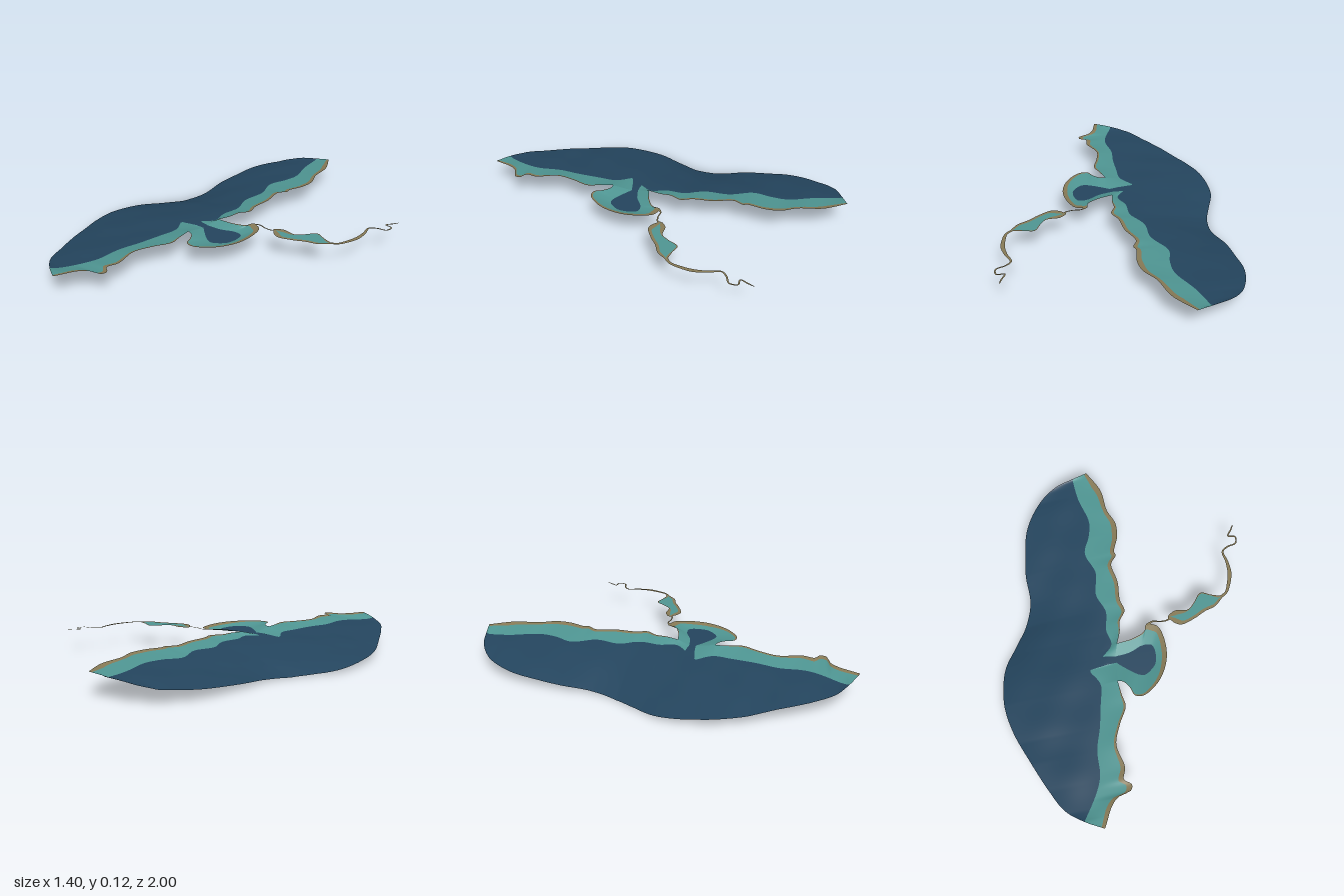
import * as THREE from 'three';

const material = (name, color) =>
  Object.assign(new THREE.MeshStandardMaterial({ color, side: THREE.DoubleSide }), { name });

const SHORE_Y = 0.125, SHELF_Y = 0.107;
const lerp = THREE.MathUtils.lerp;

// Smooth curve through [x, z] points, sampled evenly between the points
function smooth(points, steps = 10) {
  const curve = new THREE.CatmullRomCurve3(points.map(([x, z]) => new THREE.Vector3(x, 0, z)));
  return curve.getPoints((points.length - 1) * steps);
}

// Value along a list of [value, z] pairs
function along(samples, z) {
  let i = 1;
  while (i < samples.length - 1 && samples[i].z < z) i++;
  const a = samples[i - 1], b = samples[i];
  const t = THREE.MathUtils.clamp((z - a.z) / Math.max(b.z - a.z, 1e-6), 0, 1);
  return lerp(a.x, b.x, t);
}
const table = (points) => points.map(([x, z]) => ({ x, z }));

// Sheet through rows of points that all have the same length
function sheet(name, mat, rows) {
  const n = rows[0].length, index = [];
  for (let r = 0; r < rows.length - 1; r++) {
    for (let c = 0; c < n - 1; c++) {
      const a = r * n + c, b = a + n;
      index.push(a, b, a + 1, b, b + 1, a + 1);
    }
  }
  const geometry = new THREE.BufferGeometry().setFromPoints(rows.flat());
  geometry.setIndex(index);
  geometry.computeVertexNormals();
  const mesh = new THREE.Mesh(geometry, mat);
  mesh.name = name;
  return mesh;
}

// Sheet between two matched curves
function between(name, mat, a, b, columns = 4) {
  return sheet(name, mat, a.map((p, i) =>
    Array.from({ length: columns + 1 }, (_, c) => p.clone().lerp(b[i], c / columns))));
}

// Flat ribbon along [x, z, width] points
function stream(name, mat, points) {
  const steps = 8, path = smooth(points, steps);
  return sheet(name, mat, path.map((p, i) => {
    const k = Math.min(Math.floor(i / steps), points.length - 2);
    const w = lerp(points[k][2], points[k + 1][2], i / steps - k) / 2;
    const d = path[Math.min(i + 1, path.length - 1)].clone().sub(path[Math.max(i - 1, 0)]).normalize();
    const side = new THREE.Vector3(-d.z * w, 0, d.x * w);
    return [p.clone().add(side).setY(SHORE_Y), p.clone().sub(side).setY(SHORE_Y)];
  }));
}

// Sea floor outlines as [x, z], from back to front
const outerEdge = smooth([[-0.07, -1], [-0.155, -0.98], [-0.26, -0.95], [-0.35, -0.89], [-0.42, -0.8],
  [-0.465, -0.7], [-0.485, -0.58], [-0.5, -0.45], [-0.495, -0.29], [-0.535, -0.16], [-0.6, -0.05],
  [-0.675, 0.08], [-0.7, 0.27], [-0.67, 0.43], [-0.6, 0.6], [-0.52, 0.77], [-0.455, 0.88],
  [-0.365, 0.95], [-0.27, 1]]);
const northShore = smooth([[-0.07, -1], [-0.005, -0.87], [0.01, -0.74], [0.045, -0.65], [0.042, -0.565],
  [0.01, -0.475], [0.015, -0.45], [-0.018, -0.4], [0, -0.29], [-0.005, -0.18], [0.01, -0.115],
  [-0.025, -0.06], [-0.035, 0], [-0.06, 0.065]]);
const southShore = smooth([[-0.09, 0.27], [-0.08, 0.35], [-0.07, 0.41], [-0.115, 0.5], [-0.15, 0.6],
  [-0.125, 0.72], [-0.14, 0.78], [-0.105, 0.81], [-0.115, 0.84], [-0.18, 0.86], [-0.22, 0.9],
  [-0.255, 0.97], [-0.27, 1]]);
const shore = [...northShore, ...table([[-0.08, 0.13], [-0.08, 0.165]]), ...southShore];
const deepEdge = [
  ...smooth([[-0.155, -0.98], [-0.14, -0.845], [-0.1, -0.69], [-0.115, -0.6], [-0.152, -0.5], [-0.11, -0.37],
    [-0.128, -0.24], [-0.09, -0.13], [-0.105, -0.025], [-0.09, 0.06], [-0.145, 0.12]]),
  ...table([[-0.08, 0.13], [-0.08, 0.165], [-0.13, 0.168], [-0.22, 0.18]]),
  ...smooth([[-0.225, 0.19], [-0.18, 0.27], [-0.195, 0.37], [-0.22, 0.5], [-0.25, 0.61], [-0.255, 0.74],
    [-0.285, 0.82], [-0.365, 0.95]])];
// Height of the outer edge, end of the slope, sand width and shore height along z
const outerY = table([[0.125, -1], [0.09, -0.93], [0.07, -0.87], [0.043, -0.6], [0.03, -0.45], [0.01, -0.28],
  [0, -0.15], [0.008, 0], [0.02, 0.12], [0.037, 0.28], [0.048, 0.5], [0.065, 0.62], [0.077, 0.77],
  [0.095, 0.9], [0.125, 1]]);
const shelfX = table([[-0.13, -1], [-0.1, 0], [-0.14, 0.2], [-0.2, 0.45], [-0.25, 0.7], [-0.3, 1]]);
const sandWidth = table([[0.015, -1], [0.035, -0.9], [0.02, -0.75], [0.03, -0.6], [0.02, -0.4], [0.02, -0.15],
  [0.008, -0.03], [0, 0.06], [0, 0.28], [0.012, 0.4], [0.012, 0.6], [0.03, 0.8], [0.025, 0.92], [0.02, 1]]);
const shoreY = table([[SHORE_Y, 0.065], [SHELF_Y, 0.13], [SHELF_Y, 0.165], [SHORE_Y, 0.27]]);

function floorY(x, z, left) {
  const t = THREE.MathUtils.clamp((x - left) / Math.max(along(shelfX, z) - left, 0.02), 0, 1);
  const ripple = 0.012 * t * (1 - t) * Math.sin(z * 19 + x * 7) * Math.sin(x * 11 - z * 5);
  return lerp(along(outerY, z), SHELF_Y, t * (1.35 - 0.35 * t)) + ripple;
}

export function createModel() {
  const model = new THREE.Group();
  model.name = 'coastalSeaFloor';
  const deep = material('deepWater', 0x24455e);
  const shallow = material('shallowWater', 0x4f9693);
  const sand = material('sand', 0x877a56);

  // Main sea floor: rows across z, each cut into deep, shallow and sand
  const deepRows = [], shallowRows = [], sandRows = [];
  const zs = Array.from({ length: 241 }, (_, i) => -1 + i / 120);
  zs.push(0.065, 0.12, 0.13, 0.165, 0.168, 0.18, 0.27);
  zs.sort((a, b) => a - b);
  for (const z of zs) {
    const left = along(outerEdge, z), right = Math.max(left, along(shore, z));
    const beach = Math.max(left, right - along(sandWidth, z));
    const drop = Math.min(Math.max(along(deepEdge, z), left), beach);
    const endY = along(shoreY, z), beachY = endY - 0.2 * (right - beach), dropY = floorY(drop, z, left);
    deepRows.push(Array.from({ length: 25 }, (_, i) => {
      const x = lerp(left, drop, i / 24);
      return new THREE.Vector3(x, floorY(x, z, left), z);
    }));
    shallowRows.push(Array.from({ length: 6 }, (_, i) =>
      new THREE.Vector3(lerp(drop, beach, i / 5), lerp(dropY, beachY, i / 5), z)));
    sandRows.push([new THREE.Vector3(beach, beachY, z), new THREE.Vector3(right, endY, z)]);
  }
  model.add(sheet('deepSeaFloor', deep, deepRows), sheet('shallowShelf', shallow, shallowRows),
    sheet('sandyShore', sand, sandRows));

  // Bay: matched shore and deep outlines, from the north side of the mouth to the south side
  const steps = 8;
  const bayShore = smooth([[-0.06, 0.065], [0.03, 0.05], [0.095, 0.02], [0.11, -0.015], [0.145, -0.012],
    [0.175, 0.01], [0.195, 0.11], [0.18, 0.21], [0.12, 0.31], [0.03, 0.37], [-0.015, 0.36], [-0.03, 0.32],
    [-0.06, 0.28], [-0.09, 0.27]], steps).map((p) => p.setY(SHORE_Y));
  const bayDeep = smooth([[-0.08, 0.13], [0, 0.12], [0.06, 0.095], [0.09, 0.09], [0.11, 0.092], [0.125, 0.1],
    [0.135, 0.14], [0.125, 0.2], [0.1, 0.23], [0.06, 0.255], [0.03, 0.25], [0.005, 0.235], [-0.04, 0.2],
    [-0.08, 0.165]], steps).map((p) => p.setY(SHELF_Y));
  const inset = [0, 0.08, 0.12, 0.25, 0.32, 0.32, 0.45, 0.45, 0.25, 0.1, 0.06, 0.05, 0.03, 0];
  const mix = (a, b, ks) => a.map((p, i) => {
    const k = Math.min(Math.floor(i / steps), ks.length - 2);
    return p.clone().lerp(b[i], lerp(ks[k], ks[k + 1], i / steps - k));
  });
  const bayBeach = mix(bayShore, bayDeep, inset);
  const half = Math.ceil(bayDeep.length / 2);
  model.add(between('baySand', sand, bayShore, bayBeach, 1),
    between('bayShallows', shallow, bayBeach, bayDeep),
    between('bayDeep', deep, bayDeep.slice(0, half), bayDeep.slice().reverse().slice(0, half)));

  // Pond with a sand rim
  const flat = (points) => smooth(points, steps).map((p) => p.setY(SHORE_Y));
  const north = flat([[0.24, -0.05], [0.28, -0.07], [0.35, -0.065], [0.39, -0.1], [0.435, -0.15],
    [0.49, -0.13], [0.54, -0.115]]);
  const south = flat([[0.24, -0.03], [0.265, 0], [0.3, 0.015], [0.38, -0.01], [0.44, -0.04],
    [0.5, -0.06], [0.545, -0.1]]);
  const northRim = mix(north, south, [0.5, 0.4, 0.12, 0.08, 0.06, 0.08, 0.5]);
  const southRim = mix(south, north, [0.5, 0.4, 0.25, 0.2, 0.15, 0.2, 0.5]);
  model.add(between('pondNorthRim', sand, north, northRim, 1), between('pondSouthRim', sand, southRim, south, 1),
    between('pondWater', shallow, northRim, southRim));

  // Narrow streams joining the bay, the pond and the inland end
  model.add(stream('lowerStream', sand, [[0.115, -0.012, 0.015], [0.15, -0.028, 0.008], [0.19, -0.02, 0.007],
    [0.235, -0.025, 0.009], [0.245, -0.042, 0.018]]));
  model.add(stream('upperStream', sand, [[0.54, -0.107, 0.016], [0.575, -0.13, 0.014], [0.6, -0.18, 0.019],
    [0.618, -0.24, 0.022], [0.618, -0.31, 0.016], [0.608, -0.375, 0.01], [0.64, -0.4, 0.009],
    [0.69, -0.415, 0.008], [0.695, -0.455, 0.008], [0.658, -0.465, 0.008], [0.68, -0.5, 0.008],
    [0.697, -0.528, 0.005]]));
  return model;
}
